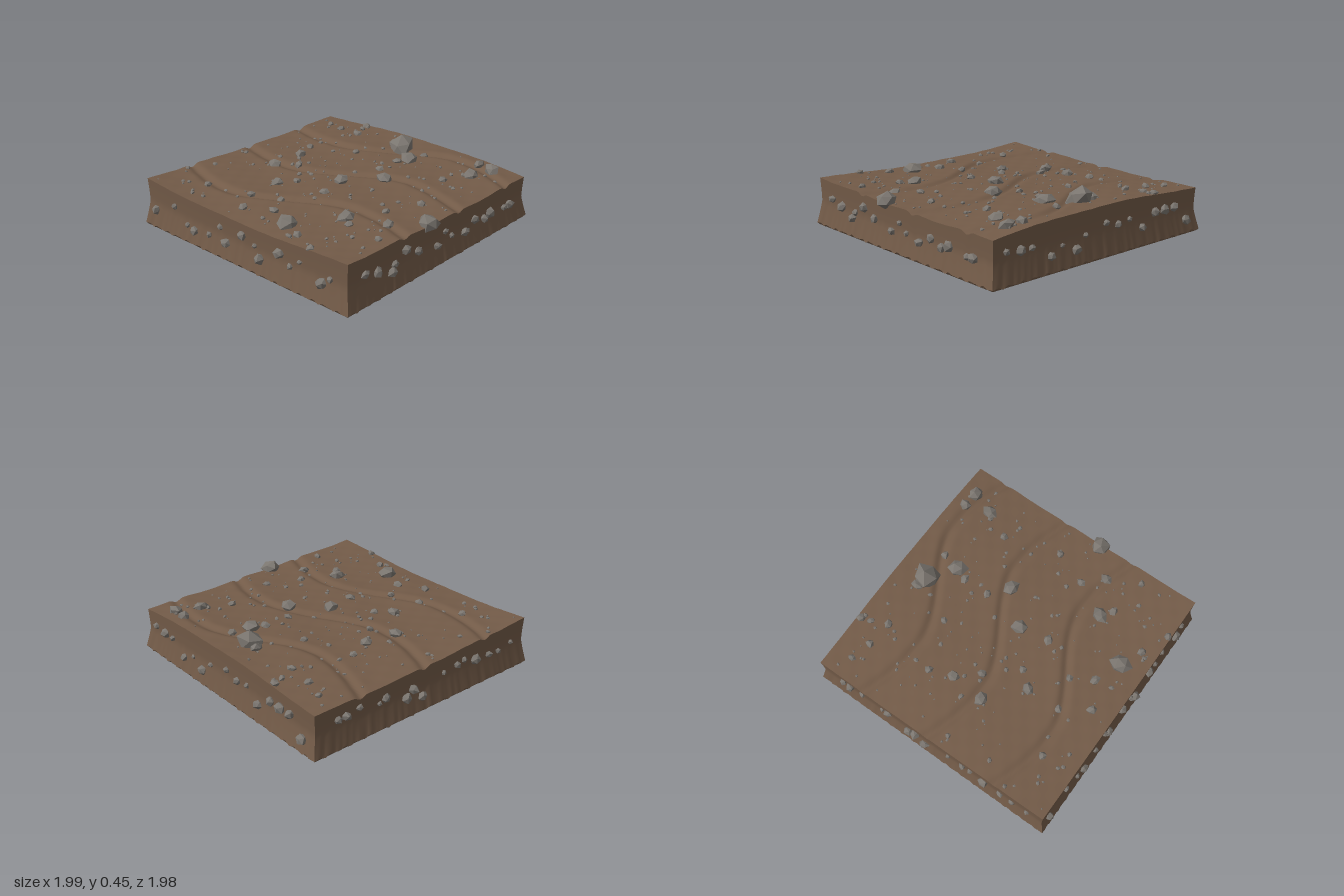
import * as THREE from 'three';

const CX = -0.01, CZ = -0.005, HALF = 0.945;

let seed = 7;
const rand = () => (seed = (seed * 16807) % 2147483647) / 2147483647;

const soil = new THREE.MeshStandardMaterial({ color: 0x735b48 });
soil.name = 'soilBrown';
const stone = new THREE.MeshStandardMaterial({ color: 0x7a756f, flatShading: true });
stone.name = 'stoneGrey';

// Winding furrow line: sideways swing at a given x
function swing(x) {
  const a = Math.abs(x);
  const phase = a < 0.45 ? a * 3.49 : Math.PI / 2 + (a - 0.45) * 2.4;
  return -0.175 * Math.sign(x) * Math.sin(phase);
}

// Ground height: a gentle twist from hollow front to domed back, ripples and three furrows
function ground(x, z) {
  let h = 0.333 - 0.018 * z + 0.04 * z * x * x - 0.02 * x * x * (1 - z * z);
  h += 0.003 * Math.sin(7 * x + 3 * z) + 0.003 * Math.sin(11 * z - 4 * x);
  h += 0.0012 * Math.sin(38 * x + 9 * z) * Math.sin(34 * z - 7 * x);
  for (const c of [-0.645, -0.095, 0.475]) {
    const d = (z - c - swing(x)) / 0.035;
    h += 0.006 * Math.exp(-d * d / 9) - 0.024 * Math.exp(-d * d);
  }
  return h;
}

// Sheet whose points follow f(u, v), u and v from 0 to 1
function sheet(nu, nv, f) {
  const g = new THREE.PlaneGeometry(1, 1, nu, nv);
  const p = g.attributes.position;
  for (let i = 0; i < p.count; i++) p.setXYZ(i, ...f(p.getX(i) + 0.5, p.getY(i) + 0.5));
  g.computeVertexNormals();
  return g;
}

// Distance of a side wall from the middle: upright above, flared and faintly fluted below
function wallOut(s, v) {
  const low = Math.max(0, 1 - v / 0.5);
  const flute = Math.sin(22 * Math.PI * s) + Math.sin(37 * Math.PI * s);
  return HALF - 0.006 * Math.sin(Math.PI * v) + 0.025 * low + 0.0015 * low * flute;
}

// Ragged lower edge of the walls
const foot = (s) => 0.013 + 0.006 * Math.sin(18 * Math.PI * s) + 0.004 * Math.sin(29 * Math.PI * s);

// Point on wall number k (0 front, 1 +x, 2 back, 3 -x)
function onWall(k, along, out) {
  const c = Math.round(Math.cos(k * Math.PI / 2)), n = Math.round(Math.sin(k * Math.PI / 2));
  return [CX + along * c + out * n, CZ - along * n + out * c];
}

// Faceted stone shapes, each an irregular icosahedron
const stoneShapes = [0, 1, 2, 3, 4].map((k) => {
  const g = new THREE.IcosahedronGeometry(1, 0);
  const p = g.attributes.position, v = new THREE.Vector3();
  for (let i = 0; i < p.count; i++) {
    v.fromBufferAttribute(p, i);
    v.multiplyScalar(0.98 + 0.14 * Math.sin(5 * v.x + 7 * v.y + 9 * v.z + 2 * k));
    p.setXYZ(i, v.x, v.y, v.z);
  }
  g.computeVertexNormals();
  return g;
});

function addStone(group, name, x, y, z, r, flat) {
  const m = new THREE.Mesh(stoneShapes[Math.floor(rand() * 5)], stone);
  m.name = name;
  m.position.set(x, y, z);
  m.rotation.set(rand() * 0.5, rand() * 6.28, rand() * 0.5);
  m.scale.set(r * (0.9 + rand() * 0.2), r * flat, r * (0.9 + rand() * 0.2));
  group.add(m);
}

// x, z, radius of the largest stones on top
const BOULDERS = [
  [-0.01, -0.73, 0.1], [0.17, -0.59, 0.07], [0.73, -0.84, 0.06], [0.61, -0.85, 0.045],
  [0.67, -0.67, 0.055], [0.27, -0.19, 0.065], [0.06, 0.03, 0.055], [0.92, 0.14, 0.078],
  [-0.52, 0.12, 0.05], [-0.5, -0.13, 0.045], [0.47, 0.44, 0.06], [0.73, 0.32, 0.045],
  [0.25, 0.76, 0.08], [0.05, 0.68, 0.04], [-0.27, 0.34, 0.045], [-0.1, -0.75, 0.045],
];

// x, z of the medium stones on top
const MEDIUM = [
  [0.55, 0.5], [-0.18, 0.23], [-0.37, 0.02], [-0.56, -0.3], [-0.8, -0.79], [-0.65, -0.75],
  [-0.51, -0.85], [-0.53, -0.92], [-0.46, -0.73], [0.2, -0.73], [0.13, -0.5], [-0.21, -0.43],
  [0.57, -0.47], [0.7, -0.06], [0.13, -0.3], [0.1, 0.25], [0.6, 0.19], [0.84, 0.55],
  [-0.04, 0.53], [-0.27, 0.59], [-0.6, 0.69], [0.41, 0.83], [0.61, 0.92], [-0.14, 0.78],
];

export function createModel() {
  const model = new THREE.Group();
  const add = (name, geometry) => {
    const m = new THREE.Mesh(geometry, soil);
    m.name = name;
    model.add(m);
  };
  const addGroup = (name) => {
    const g = new THREE.Group();
    g.name = name;
    model.add(g);
    return g;
  };

  // Ground surface
  add('groundSurface', sheet(110, 110, (u, v) => {
    const x = CX + (2 * u - 1) * HALF, z = CZ - (2 * v - 1) * HALF;
    return [x, ground(x, z), z];
  }));

  // Four side walls, each with an undercut skirt down to the base
  const baseHalf = 0.958;
  ['front', 'left', 'back', 'right'].forEach((side, k) => {
    add(side + 'Wall', sheet(110, 12, (u, v) => {
      const s = 2 * u - 1, out = wallOut(s, v);
      const [x, z] = onWall(k, s * out, out);
      const [tx, tz] = onWall(k, s * HALF, HALF);
      return [x, foot(s) + (ground(tx, tz) - foot(s)) * v, z];
    }));
    add(side + 'Skirt', sheet(110, 1, (u, v) => {
      const s = 2 * u - 1, out = baseHalf + (wallOut(s, 0) - baseHalf) * v;
      const [x, z] = onWall(k, s * out, out);
      return [x, foot(s) * v, z];
    }));
  });

  // Flat underside
  add('underside', new THREE.PlaneGeometry(2 * baseHalf, 2 * baseHalf)
    .rotateX(Math.PI / 2).translate(CX, 0, CZ));

  // Largest and medium stones on top
  const boulders = addGroup('boulders');
  for (const [x, z, r] of BOULDERS) {
    addStone(boulders, 'boulder', x, ground(x, z) + 0.15 * r, z, r, 0.75);
  }
  const mediumStones = addGroup('mediumStones');
  for (const [x, z] of MEDIUM) {
    addStone(mediumStones, 'mediumStone', x, ground(x, z) + 0.005, z, 0.028 + 0.01 * rand(), 0.75);
  }

  // Pebbles scattered over the ground
  const pebbles = addGroup('pebbles');
  for (let i = 0; i < 220; i++) {
    const x = CX + (rand() * 2 - 1) * 0.91, z = CZ + (rand() * 2 - 1) * 0.91;
    const r = 0.006 + 0.015 * rand() ** 2;
    addStone(pebbles, 'pebble', x, ground(x, z) + 0.15 * r, z, r, 0.75);
  }

  // Stones bedded in the walls
  const wallStones = addGroup('wallStones');
  for (let k = 0; k < 4; k++) {
    for (let i = 0; i < 15; i++) {
      const s = -0.87 + 1.74 * (i + rand()) / 15;
      const y = 0.1 + 0.14 * rand(), r = 0.019 + 0.024 * rand();
      const [x, z] = onWall(k, s, wallOut(s, y / 0.34) + 0.1 * r);
      addStone(wallStones, 'wallStone', x, y, z, r, 0.95);
    }
  }

  return model;
}
